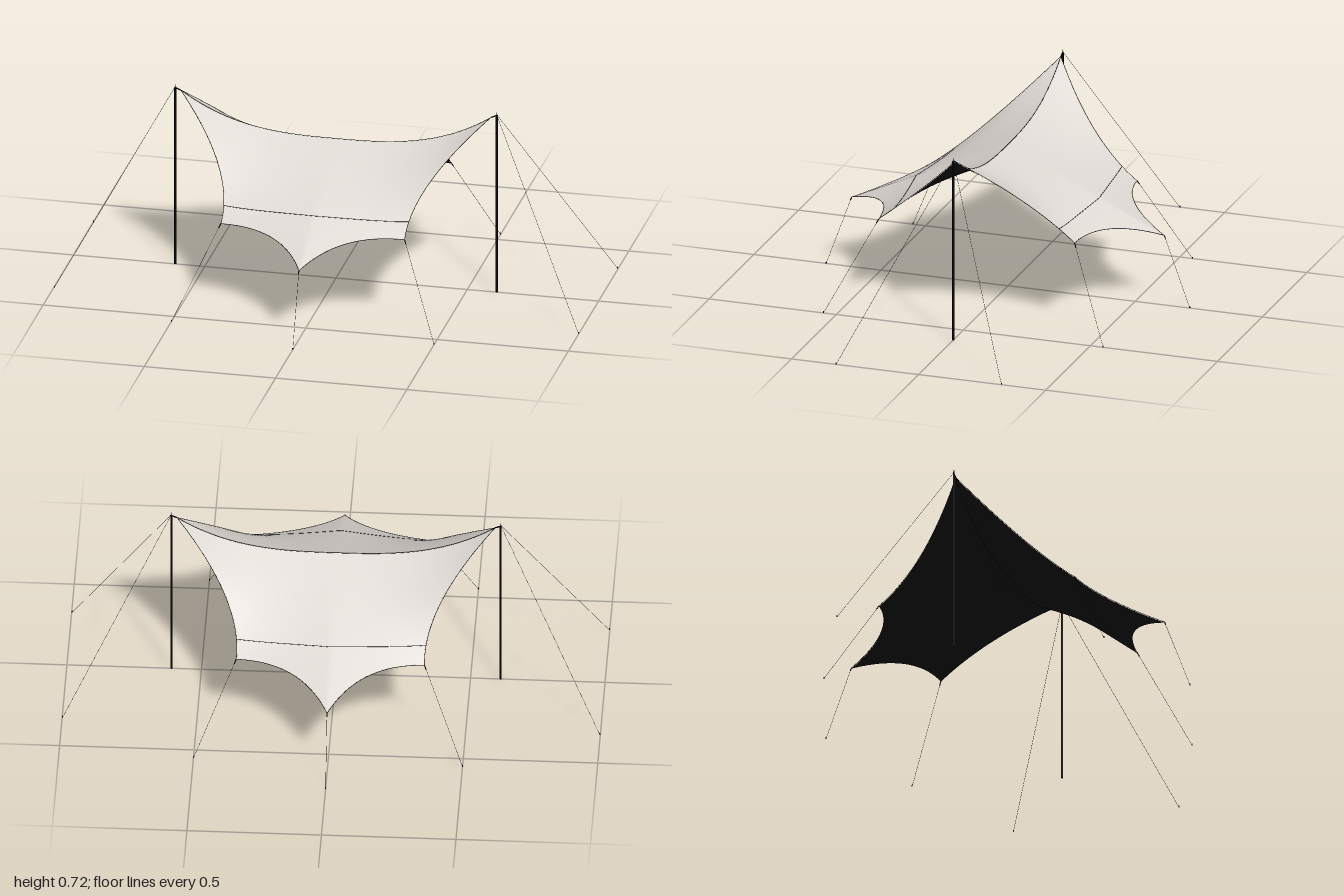
import * as THREE from 'three';

const V = (x, y, z) => new THREE.Vector3(x, y, z);

// Quadratic arc through a, m (half way) and b
function arc(a, m, b, t) {
  const c = m.clone().multiplyScalar(2).addScaledVector(a, -0.5).addScaledVector(b, -0.5);
  return a.clone().multiplyScalar((1 - t) * (1 - t))
    .addScaledVector(c, 2 * t * (1 - t)).addScaledVector(b, t * t);
}

const PEAK = V(0.592, 0.70, 0), CORNER = V(0.35, 0.34, 0.385), TIP = V(0, 0.275, 0.615);
const SIDE_MID = V(0.403, 0.5, 0.2), FRONT_MID = V(0.14, 0.33, 0.452);

// Point of the canopy: u runs -1..1 along the ridge, v runs 0..1 down the slope, s is the side
function canopyPoint(u, v, s) {
  const a = Math.abs(u);
  const ridge = V(PEAK.x * a, 0.56 + 0.14 * Math.pow(a, 2.9), 0);
  const front = arc(TIP, FRONT_MID, CORNER, a);
  const pull = arc(PEAK, SIDE_MID, CORNER, v).sub(PEAK.clone().lerp(CORNER, v));
  const p = ridge.lerp(front, v);
  p.x += pull.x * a;
  p.y += pull.y * a * a;
  p.z += pull.z * a * a;
  return V(p.x * Math.sign(u), p.y, p.z * s);
}

// One slope as a grid, seen from above or from below
function slopeGeometry(s, below) {
  const nu = 48, nv = 24, pos = [], index = [];
  for (let j = 0; j <= nv; j++) {
    for (let i = 0; i <= nu; i++) {
      const p = canopyPoint(-1 + 2 * i / nu, j / nv, s);
      pos.push(p.x, p.y - (below ? 0.003 : 0), p.z);
    }
  }
  for (let j = 0; j < nv; j++) {
    for (let i = 0; i < nu; i++) {
      const a = j * (nu + 1) + i, b = a + 1, c = a + nu + 1, d = c + 1;
      if ((s > 0) !== below) index.push(a, c, b, b, c, d);
      else index.push(a, b, c, b, d, c);
    }
  }
  const g = new THREE.BufferGeometry();
  g.setAttribute('position', new THREE.Float32BufferAttribute(pos, 3));
  g.setIndex(index);
  g.computeVertexNormals();
  return g;
}

export function createModel() {
  const model = new THREE.Group();
  const mat = (name, color) => {
    const m = new THREE.MeshStandardMaterial({ color });
    m.name = name;
    return m;
  };
  const fabric = mat('beige fabric', 0xdfd9d4);
  const lining = mat('black lining', 0x161616);
  const metal = mat('black metal', 0x0c0c0c);
  const trim = mat('dark trim and rope', 0x1a1a1a);

  const add = (name, geometry, material) => {
    const m = new THREE.Mesh(geometry, material);
    m.name = name;
    model.add(m);
    return m;
  };
  // Straight rod between two points
  const rod = (name, a, b, r, material, sides = 6) => {
    const m = add(name, new THREE.CylinderGeometry(r, r, a.distanceTo(b), sides), material);
    m.position.copy(a).lerp(b, 0.5);
    m.quaternion.setFromUnitVectors(V(0, 1, 0), b.clone().sub(a).normalize());
  };
  // Thin cord following a function of t in 0..1
  const cord = (name, fn, r) => {
    const pts = Array.from({ length: 33 }, (_, i) => fn(i / 32));
    add(name, new THREE.TubeGeometry(new THREE.CatmullRomCurve3(pts), 64, r, 5), trim);
  };
  // Guy line with a small peg in the ground
  const guyLine = (name, top, foot) => {
    rod(name, top, foot, 0.0006, trim, 5);
    rod(name + 'Peg', foot, V(foot.x, 0.006, foot.z), 0.002, metal);
  };
  // Short buckle where a guy line meets the canopy
  const buckle = (name, top, foot) =>
    rod(name, top, top.clone().lerp(foot, 0.045), 0.002, metal);

  for (const s of [1, -1]) {
    const end = s > 0 ? 'front' : 'back';
    // Canopy slope, its lining and hems
    add(end + 'Canopy', slopeGeometry(s, false), fabric);
    add(end + 'Lining', slopeGeometry(s, true), lining);
    for (const k of [1, -1]) {
      cord(end + 'SideHem', t => canopyPoint(k, t, s), 0.001);
      cord(end + 'EdgeHem', t => canopyPoint(k * t, 1, s), 0.001);
    }
    // Seam across the slope, found by its depth
    cord(end + 'Seam', t => {
      const u = 2 * t - 1, depth = 0.36 - 0.035 * Math.abs(u);
      let lo = 0, hi = 1;
      for (let i = 0; i < 20; i++) {
        const v = (lo + hi) / 2;
        if (canopyPoint(u, v, 1).z < depth) lo = v; else hi = v;
      }
      return canopyPoint(u, lo, s);
    }, 0.0011);
    // Guy line of the tip
    const tip = V(0, TIP.y, TIP.z * s), foot = V(0, 0, 0.715 * s);
    guyLine(end + 'TipLine', tip, foot);
    buckle(end + 'TipBuckle', tip, foot);
  }
  cord('ridgeSeam', t => canopyPoint(2 * t - 1, 0, 1), 0.0011);

  for (const k of [1, -1]) {
    const side = k > 0 ? 'left' : 'right';
    // Pole with its spike and the strap holding the canopy
    rod(side + 'Pole', V(0.612 * k, 0, 0), V(0.612 * k, 0.705, 0), 0.004, metal, 10);
    rod(side + 'PoleSpike', V(0.612 * k, 0.705, 0), V(0.612 * k, 0.72, 0), 0.0016, metal);
    rod(side + 'PeakStrap', V(PEAK.x * k, PEAK.y, 0), V(0.616 * k, 0.71, 0), 0.0025, metal);
    for (const s of [1, -1]) {
      const end = s > 0 ? 'Front' : 'Back';
      guyLine(side + end + 'PoleLine', V(0.612 * k, 0.712, 0), V(0.998 * k, 0, 0.325 * s));
      const corner = V(CORNER.x * k, CORNER.y, CORNER.z * s), foot = V(0.5 * k, 0, 0.55 * s);
      guyLine(side + end + 'CornerLine', corner, foot);
      buckle(side + end + 'CornerBuckle', corner, foot);
    }
  }
  return model;
}
